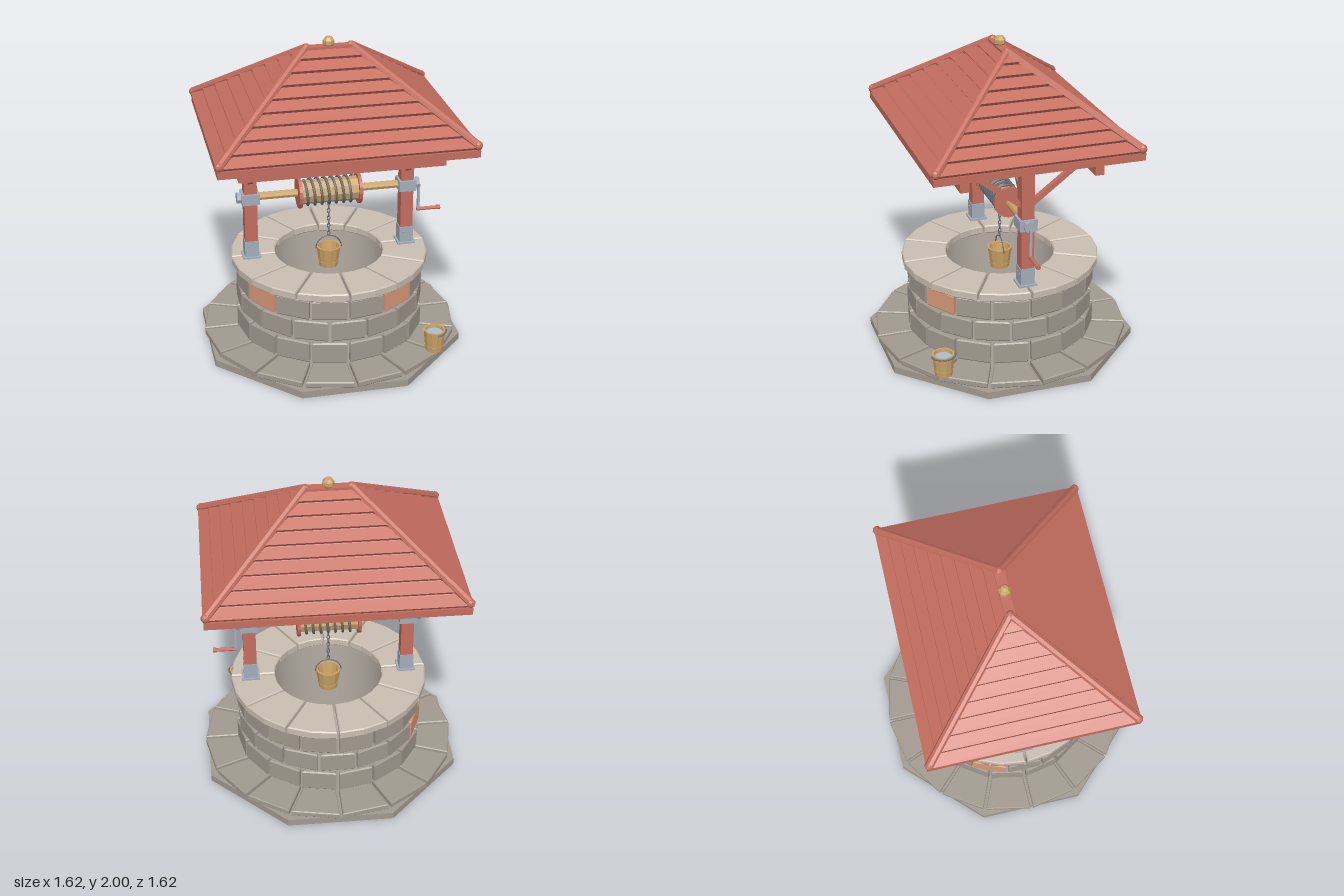
import * as THREE from 'three';
import { toCreasedNormals } from 'three/addons/utils/BufferGeometryUtils.js';

const paint = (name, color) => Object.assign(new THREE.MeshStandardMaterial({ color }), { name });
const M = {
  stone: paint('grey stone', 0xa29a90), coping: paint('pale coping stone', 0xcabeb2),
  mortar: paint('mortar', 0xb4aca2), brick: paint('clay brick', 0xdb9a7a),
  red: paint('red timber', 0xc46e5f), tan: paint('tan wood', 0xcda468),
  metal: paint('grey iron', 0xa3adba), dark: paint('dark rope and chain', 0x68707c),
  water: paint('water', 0xa9bfd0),
};
const lerp = THREE.MathUtils.lerp, PI = Math.PI;

export function createModel() {
  const root = new THREE.Group();
  root.name = 'well';

  const group = (name, parent = root) => {
    const g = new THREE.Group();
    g.name = name;
    parent.add(g);
    return g;
  };
  const add = (name, geo, mat, x = 0, y = 0, z = 0, parent = root) => {
    const m = new THREE.Mesh(geo, mat);
    m.name = name;
    m.position.set(x, y, z);
    parent.add(m);
    return m;
  };
  const box = (name, mat, w, h, d, x, y, z, parent) =>
    add(name, new THREE.BoxGeometry(w, h, d), mat, x, y, z, parent);
  const faceted = (geo) => toCreasedNormals(geo, 0.3);
  // rod along the x axis
  const rodX = (name, mat, r, x0, x1, y, z, sides, parent) =>
    add(name, faceted(new THREE.CylinderGeometry(r, r, x1 - x0, sides).rotateZ(-PI / 2)), mat, (x0 + x1) / 2, y, z, parent);
  // straight timber between two points
  const beam = (name, geoFor, a, b, parent) => {
    const p = new THREE.Vector3(...a), q = new THREE.Vector3(...b), d = q.clone().sub(p);
    const m = add(name, geoFor(d.length()), M.red, ...p.clone().add(q).multiplyScalar(0.5).toArray(), parent);
    m.quaternion.setFromUnitVectors(new THREE.Vector3(0, 1, 0), d.normalize());
  };

  // bevelled ring segment with parallel-sided joints
  const wedge = (r0, r1, a0, a1, y0, y1, gap, bevel, segs) => {
    const pts = [];
    for (const [r, from, to, s] of [[r0, a0, a1, 1], [r1, a1, a0, -1]]) {
      for (let i = 0; i <= segs; i++) {
        const a = lerp(from + s * gap / r, to - s * gap / r, i / segs);
        pts.push(new THREE.Vector2(r * Math.sin(a), -r * Math.cos(a)));
      }
    }
    return new THREE.ExtrudeGeometry(new THREE.Shape(pts), {
      depth: y1 - y0 - 2 * bevel, bevelEnabled: true, bevelSize: bevel, bevelThickness: bevel,
      bevelOffset: -bevel, bevelSegments: 1,
    }).rotateX(-PI / 2).translate(0, y0 + bevel, 0);
  };
  const ring = (name, n, shift, mat, segs, r0, r1, y0, y1, gap, bevel, odd = []) => {
    const g = group(name), step = 2 * PI / n;
    for (let i = 0; i < n; i++) {
      add('stone', wedge(r0, r1, (i + shift) * step, (i + shift + 1) * step, y0, y1, gap, bevel, segs),
        odd.includes(i) ? M.brick : mat, 0, 0, 0, g);
    }
  };

  // stonework
  add('baseSlab', faceted(new THREE.CylinderGeometry(0.855, 0.855, 0.045, 8, 1, false, PI / 8)), M.stone, 0, 0.0225, 0);
  ring('paving', 16, 0, M.stone, 1, 0.54, 0.812, 0.045, 0.085, 0.01, 0.006);
  ring('lowerCourse', 16, 0, M.stone, 1, 0.5, 0.6, 0.09, 0.228, 0.009, 0.008);
  ring('middleCourse', 16, 0.5, M.stone, 1, 0.5, 0.596, 0.243, 0.375, 0.009, 0.008, [10]);
  ring('upperCourse', 16, 0, M.stone, 1, 0.5, 0.598, 0.39, 0.52, 0.009, 0.008, [1, 13]);
  ring('coping', 12, 0, M.coping, 2, 0.345, 0.625, 0.53, 0.585, 0.007, 0.007);
  const core = [[0.57, 0.04], [0.57, 0.545], [0.365, 0.545], [0.365, 0.04]].map((p) => new THREE.Vector2(...p));
  add('wallCore', toCreasedNormals(new THREE.LatheGeometry(core, 32), 0.6), M.mortar);

  // posts with iron shoes, bearings and braces
  for (const s of [-1, 1]) {
    const g = group(s > 0 ? 'leftPost' : 'rightPost'), x = s * 0.5;
    box('post', M.red, 0.08, 0.79, 0.08, x, 0.98, 0, g);
    box('shoe', M.metal, 0.088, 0.11, 0.088, x, 0.645, 0, g);
    box('shoePlate', M.metal, 0.115, 0.012, 0.115, x, 0.59, 0, g);
    for (const t of [-1, 1]) {
      add('shoeBolt', new THREE.SphereGeometry(0.006, 6, 4), M.metal, x + t * 0.02, 0.665, 0.044, g);
    }
    box('bearing', M.metal, 0.11, 0.07, 0.11, x, 0.99, 0, g);
    rodX('axleCap', M.metal, 0.036, s * 0.565 - 0.018, s * 0.565 + 0.018, 0.99, 0, 8, g);
    box('crossBeam', M.red, 0.1, 0.057, 0.88, x, 1.383, 0, g);
    const square = (w) => (len) => new THREE.BoxGeometry(w, len, w);
    beam('tieBrace', square(0.03), [s * 0.45, 1.11, 0], [s * 0.28, 1.3, 0], g);
    for (const t of [-1, 1]) {
      beam('beamBrace', square(0.032), [x, 1.1, t * 0.02], [x, 1.365, t * 0.37], g);
    }
  }
  for (const z of [-0.412, 0.412]) box('wallPlate', M.red, 1.25, 0.057, 0.055, 0, 1.318, z);
  box('tieBeam', M.red, 1.0, 0.057, 0.05, 0, 1.318, 0);

  // roof: a deck with spaced planks on four slopes
  const roof = group('roof');
  box('eaves', M.red, 1.54, 0.045, 1.27, 0, 1.4345, 0, roof);
  const slopeSlab = (t0, t1, under, n0, n1, endSlope) => {
    const geo = new THREE.BoxGeometry(2, 1, 1), p = geo.attributes.position;
    for (let v = 0; v < p.count; v++) {
      const upper = p.getY(v) > 0, t = upper ? t1 : t0;
      const n = p.getZ(v) < 0 ? under : upper ? n1 : n0;
      const a = lerp(0.76, 0.14, t), b = lerp(0.62, 0, t), y = lerp(1.455, 1.93, t) + n * 0.8;
      const s = p.getX(v);
      if (endSlope) p.setXYZ(v, a + n * 0.6, y, -s * b);
      else p.setXYZ(v, s * a, y, b + n * 0.6);
    }
    const flat = geo.toNonIndexed();
    flat.computeVertexNormals();
    return flat;
  };
  const courses = 9;
  for (const end of [false, true]) {
    for (const turn of [0, PI]) {
      add('deck', slopeSlab(0, 1, -0.02, 0, 0, end), M.red, 0, 0, 0, roof).rotation.y = turn;
      for (let i = 0; i < courses; i++) {
        const geo = slopeSlab(i / courses, (i + 0.88) / courses, -0.01, 0.024, 0.014, end);
        add('plank', geo, M.red, 0, 0, 0, roof).rotation.y = turn;
      }
    }
  }
  const pole = (len) => faceted(new THREE.CylinderGeometry(0.026, 0.026, len, 8));
  const knob = (x, y, z) => add('poleKnob', faceted(new THREE.SphereGeometry(0.028, 8, 6)), M.red, x, y, z, roof);
  for (const sx of [-1, 1]) {
    for (const sz of [-1, 1]) {
      beam('hipPole', pole, [sx * 0.757, 1.481, sz * 0.617], [sx * 0.137, 1.935, 0], roof);
      knob(sx * 0.757, 1.481, sz * 0.617);
    }
    knob(sx * 0.137, 1.933, 0);
  }
  box('ridge', M.red, 0.28, 0.04, 0.06, 0, 1.922, 0, roof);
  add('finial', faceted(new THREE.SphereGeometry(0.038, 7, 5)), M.tan, 0, 1.963, 0, roof);

  // windlass
  const windlass = group('windlass');
  rodX('axle', M.tan, 0.026, -0.56, 0.56, 0.99, 0, 8, windlass);
  rodX('drum', M.tan, 0.077, -0.19, 0.19, 0.99, 0, 10, windlass);
  for (const x of [-0.19, 0.19]) rodX('flange', M.red, 0.1, x - 0.01, x + 0.01, 0.99, 0, 16, windlass);
  const coil = [], turns = 7;
  for (let i = 0; i <= turns * 12; i++) {
    const a = i * PI / 6;
    coil.push(new THREE.Vector3(-0.16 + 0.32 * i / (turns * 12), 0.99 + 0.083 * Math.cos(a), 0.083 * Math.sin(a)));
  }
  add('ropeCoil', new THREE.TubeGeometry(new THREE.CatmullRomCurve3(coil), turns * 20, 0.009, 6), M.dark, 0, 0, 0, windlass);
  box('crankArm', M.metal, 0.016, 0.18, 0.016, 0.586, 0.885, 0, windlass);
  rodX('crankHandle', M.red, 0.012, 0.577, 0.715, 0.8, 0, 8, windlass);
  rodX('crankKnob', M.red, 0.016, 0.71, 0.73, 0.8, 0, 8, windlass);

  // chain of alternating links
  const chain = group('chain');
  for (let i = 0; i < 9; i++) {
    const link = add('link', new THREE.TorusGeometry(0.011, 0.0035, 5, 8).scale(0.8, 1.5, 1), M.dark, 0, 0.9 - i * 0.0265, 0, chain);
    link.rotation.y = i % 2 ? PI / 2 : 0;
  }

  // buckets, measured from their bottom
  const bucket = (name, x, y, z, r0, r1, h) => {
    const g = group(name);
    g.position.set(x, y, z);
    const profile = [[0, 0], [r0, 0], [r1, h], [r1 - 0.012, h], [r0 - 0.01, 0.012], [0, 0.012]];
    add('staves', faceted(new THREE.LatheGeometry(profile.map((p) => new THREE.Vector2(...p)), 12)), M.tan, 0, 0, 0, g);
    for (const t of [0.22, 0.76]) {
      const r = lerp(r0, r1, t) + 0.003;
      add('hoop', faceted(new THREE.CylinderGeometry(r + 0.001, r - 0.001, 0.013, 12)
        .translate(0, h * t, 0)), M.tan, 0, 0, 0, g).visible = t < 0.5;
    }
    return g;
  };
  const hung = bucket('hangingBucket', 0, 0.465, 0, 0.06, 0.08, 0.135);
  add('handle', new THREE.TorusGeometry(0.083, 0.004, 6, 16, PI), M.dark, 0, 0.122, 0, hung);
  const stood = bucket('standingBucket', 0.56, 0.085, 0.54, 0.055, 0.07, 0.14);
  add('water', new THREE.CircleGeometry(0.06, 12).rotateX(-PI / 2), M.water, 0, 0.118, 0, stood);
  const bail = add('handle', new THREE.TorusGeometry(0.074, 0.004, 6, 16, PI), M.dark, 0, 0.128, 0, stood);
  bail.rotation.set(0, PI / 2, 0);
  bail.rotateX(1.5);

  return root;
}
